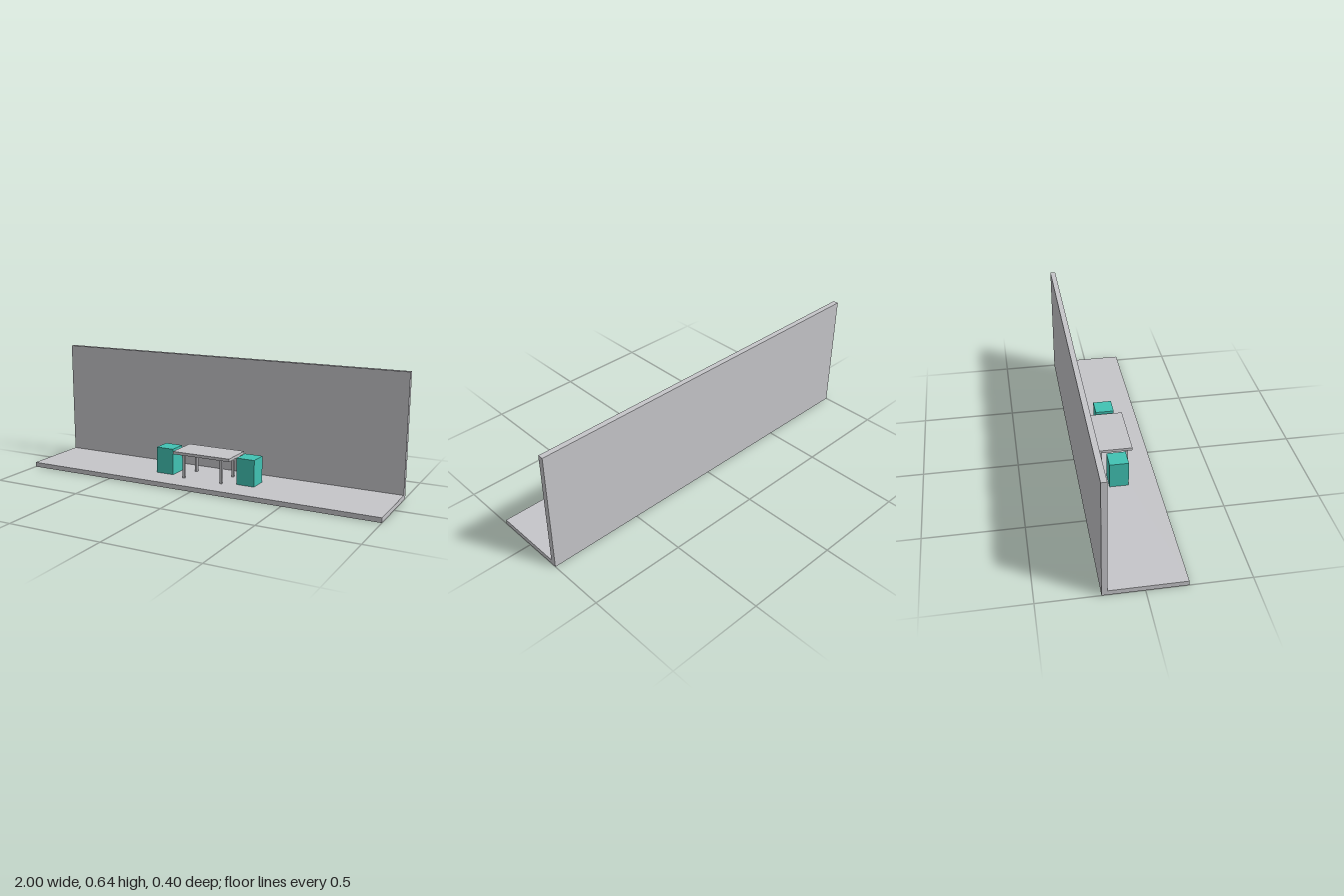
import * as THREE from 'three';

const grey = new THREE.MeshStandardMaterial({ color: 0xc5c5c9 });
grey.name = 'pale grey';
const teal = new THREE.MeshStandardMaterial({ color: 0x41c2b3 });
teal.name = 'teal';

// Box given by its extents along each axis
function block(name, material, [x0, x1], [y0, y1], [z0, z1]) {
  const mesh = new THREE.Mesh(new THREE.BoxGeometry(x1 - x0, y1 - y0, z1 - z0), material);
  mesh.position.set((x0 + x1) / 2, (y0 + y1) / 2, (z0 + z1) / 2);
  mesh.name = name;
  return mesh;
}

export function createModel() {
  const model = new THREE.Group();
  model.name = 'tableAndStoolsByWall';
  const floorTop = 0.025;

  // Floor slab, with the back wall standing on its rear edge
  model.add(block('floor', grey, [-1, 1], [0, floorTop], [-0.2, 0.2]));
  model.add(block('backWall', grey, [-1, 1], [floorTop, 0.643], [-0.2, -0.172]));

  // Table: thin top on four square legs
  const table = new THREE.Group();
  table.name = 'table';
  table.position.set(-0.001, 0, 0.001);
  table.add(block('tableTop', grey, [-0.165, 0.165], [0.152, 0.167], [-0.09, 0.09]));
  for (const x of [-0.11, 0.11]) {
    for (const z of [-0.07, 0.07]) {
      table.add(block('tableLeg', grey, [x - 0.0065, x + 0.0065], [floorTop, 0.152], [z - 0.0065, z + 0.0065]));
    }
  }
  model.add(table);

  // One block stool at each end of the table
  for (const [name, x] of [['rightStool', -0.24], ['leftStool', 0.237]]) {
    model.add(block(name, teal, [x - 0.05, x + 0.05], [floorTop, 0.166], [-0.05, 0.05]));
  }
  return model;
}
